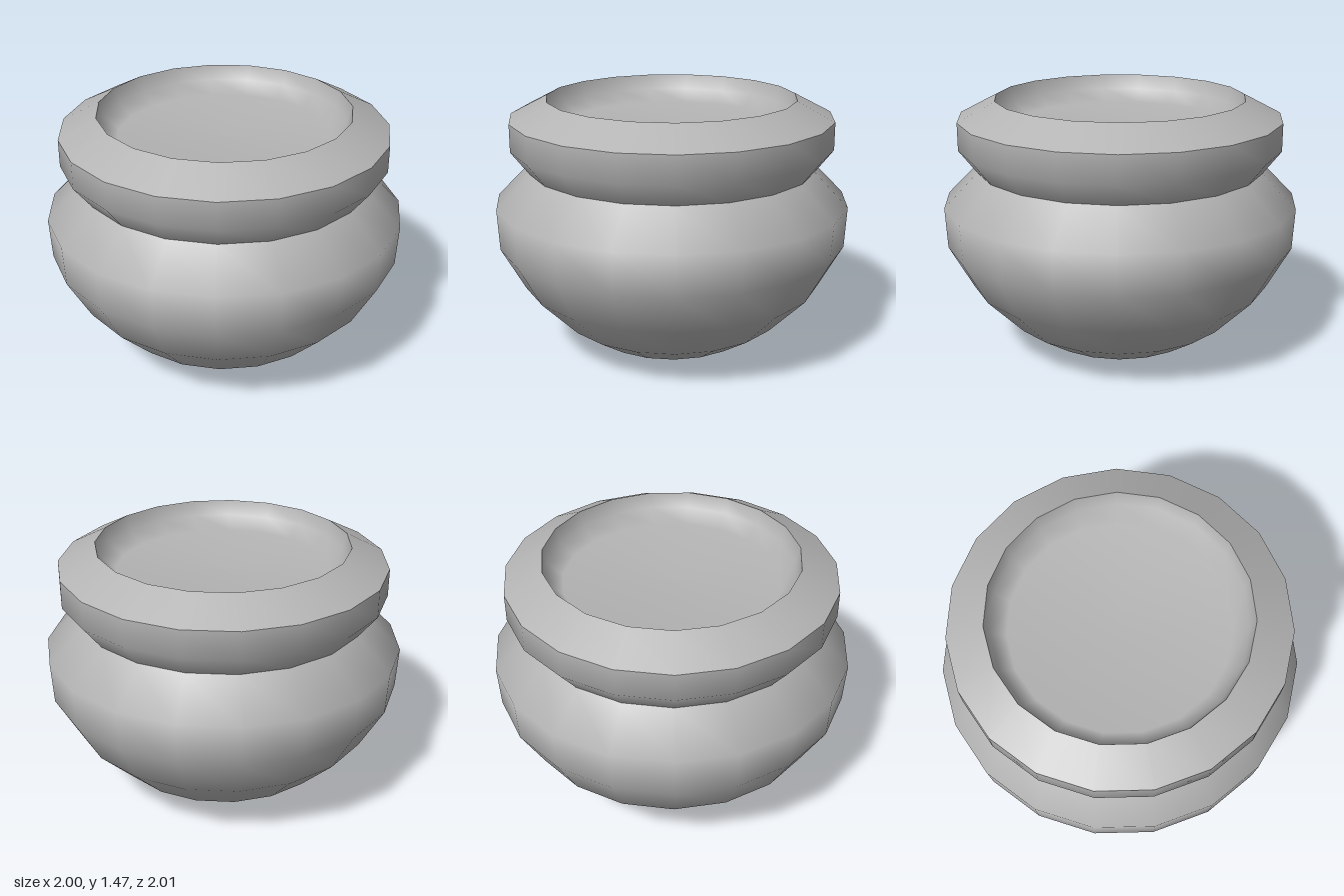
import * as THREE from 'three';

const SIDES = 19;
const START = THREE.MathUtils.degToRad(88.85); // turns one corner to the +x side

export function createModel() {
  const pot = new THREE.Group();
  pot.name = 'pot';

  const clay = new THREE.MeshStandardMaterial({ color: 0xb4b4b4 });
  clay.name = 'grey clay';

  // Each section is smooth in itself; hard edges fall between sections
  const turned = (name, profile) => {
    const points = profile.map(([r, y]) => new THREE.Vector2(r, y));
    const mesh = new THREE.Mesh(new THREE.LatheGeometry(points, SIDES, START), clay);
    mesh.name = name;
    mesh.position.x = -0.007;
    pot.add(mesh);
  };

  // Round belly with its closed base and sloping shoulder
  turned('belly', [
    [0, 0], [0.275, 0], [0.46, 0.06], [0.645, 0.18], [0.86, 0.4],
    [0.995, 0.645], [1.007, 0.875], [0.815, 1.07],
  ]);

  // Collar flaring out from the neck
  turned('collar', [[0.815, 1.07], [0.915, 1.2], [0.915, 1.355]]);

  // Lip sloping up to the opening
  turned('lip', [[0.915, 1.355], [0.705, 1.465]]);

  // Shallow hollow inside the opening
  turned('hollow', [[0.705, 1.465], [0.68, 1.38], [0.6, 1.31], [0, 1.3]]);

  return pot;
}
